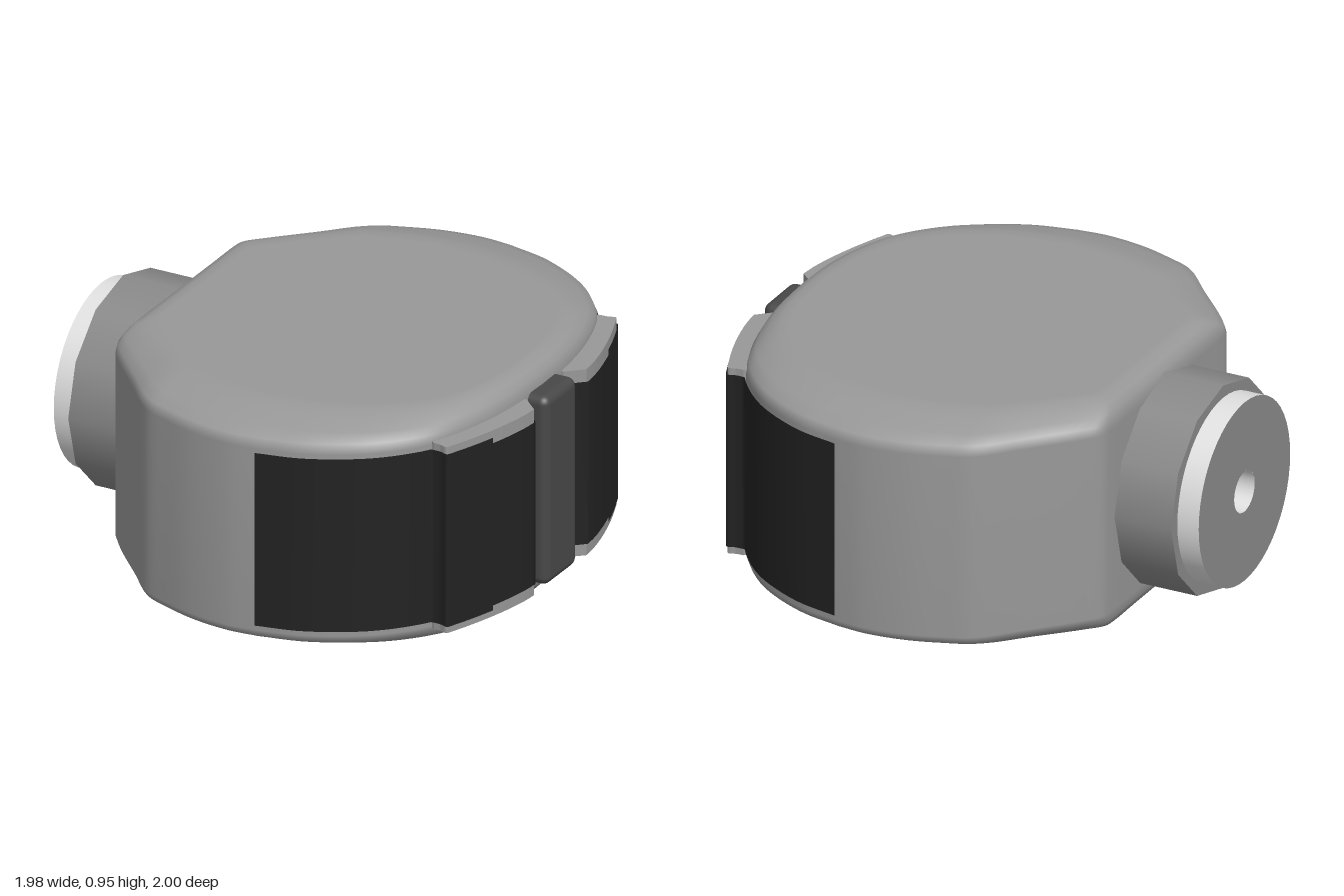
import * as THREE from 'three';
import { RoundedBoxGeometry } from 'three/addons/geometries/RoundedBoxGeometry.js';

const mat = (name, color, side = THREE.FrontSide) => {
  const m = new THREE.MeshStandardMaterial({ color, side });
  m.name = name;
  return m;
};

// Smooth curve through [x, z] points
const curve = (pts, n) =>
  new THREE.CatmullRomCurve3(pts.map(([x, z]) => new THREE.Vector3(x, 0, z)), false, 'centripetal')
    .getPoints(n).map((p) => [p.x, p.z]);

function indexed(positions, index) {
  const g = new THREE.BufferGeometry();
  g.setAttribute('position', new THREE.Float32BufferAttribute(positions, 3));
  g.setIndex(index);
  g.computeVertexNormals();
  return g;
}

// Lofted case: one plan outline, pulled in by different amounts along x and z near top and bottom
function caseGeometry(outline) {
  const H = 0.95;
  const upper = [[0.85, 0, 0], [0.885, 0.06, 0.1], [0.91, 0.2, 0.38], [0.935, 0.5, 0.75], [0.95, 1, 1], [0.95, 1.5, 1.2]];
  const levels = [...upper.map(([y, a, b]) => [H - y, a, b]).reverse(), ...upper];
  const n = outline.length, pos = [], idx = [];
  for (const [y, tx, tz] of levels) {
    for (const [x, z] of outline) pos.push(0.12 + (x - 0.12) * (1 - 0.09 * tx), y, z * (1 - 0.24 * tz));
  }
  const bottom = levels.length * n, top = bottom + 1, last = (levels.length - 1) * n;
  pos.push(0.12, 0, 0, 0.12, H, 0);
  for (let i = 0; i < n; i++) {
    const j = (i + 1) % n;
    for (let k = 0; k < levels.length - 1; k++) {
      const a = k * n + i, b = k * n + j;
      idx.push(a, b, b + n, a, b + n, a + n);
    }
    idx.push(bottom, j, i, top, last + i, last + j);
  }
  return indexed(pos, idx);
}

// Upright thin strip following a plan path, lifted slightly off the surface
function stripGeometry(path, y0, y1) {
  const pos = [], idx = [];
  path.forEach(([x, z], i) => {
    const px = 0.1 + (x - 0.1) * 1.007, pz = z * 1.005;
    pos.push(px, y0, pz, px, y1, pz);
    if (i) {
      const a = 2 * i - 2;
      idx.push(a, a + 2, a + 3, a, a + 3, a + 1);
    }
  });
  return indexed(pos, idx);
}

export function createModel() {
  const model = new THREE.Group();
  const grey = mat('case grey', 0x989898);
  const hubGrey = mat('hub grey', 0x8a8a8a);
  const light = mat('light metal', 0xe0e0e0, THREE.DoubleSide);
  const black = mat('grip black', 0x222222, THREE.DoubleSide);
  const charcoal = mat('button charcoal', 0x484848);
  const add = (name, geometry, material, x = 0, y = 0, z = 0) => {
    const m = new THREE.Mesh(geometry, material);
    m.name = name;
    m.position.set(x, y, z);
    model.add(m);
    return m;
  };

  // Case
  const rear = [[-0.66, 0], [-0.66, 0.25], [-0.66, 0.44], [-0.652, 0.5], [-0.61, 0.56], [-0.45, 0.735], [-0.31, 0.885], [-0.2, 0.935], [-0.06, 0.98], [0.1, 1], [0.22, 0.99]];
  const nose = [[0.22, 0.99], [0.4, 0.945], [0.6, 0.835], [0.72, 0.72], [0.8, 0.6], [0.865, 0.4], [0.897, 0.2], [0.905, 0]];
  const half = [...curve(rear, 40), ...curve(nose, 40).slice(1)];
  const mirrored = half.slice(1, -1).reverse().map(([x, z]) => [x, -z]);
  add('case', caseGeometry([...half, ...mirrored]), grey);

  // Raised pads and black grip strips, mirrored front and back
  const padOuter = curve([[0.79, 0.64], [0.82, 0.642], [0.85, 0.65], [0.865, 0.62], [0.91, 0.5], [0.945, 0.38], [0.968, 0.27], [0.975, 0.2]], 28);
  const bodyGrip = curve(nose, 40).filter(([, z]) => z > 0.64);
  const gripPath = [...bodyGrip, ...padOuter];
  const split = gripPath.findIndex(([, z]) => z < 0.44);
  const tip = [0.93, 0.158];
  for (const s of [1, -1]) {
    const flip = (pts) => pts.map(([x, z]) => [x, z * s]);
    const outline = [...padOuter, [0.91, 0.14], [0.84, 0.14], [0.74, 0.6]];
    const shape = new THREE.Shape(flip(outline).map(([x, z]) => new THREE.Vector2(x, -z)));
    const pad = new THREE.ExtrudeGeometry(shape, { depth: 0.77, bevelEnabled: false }).rotateX(-Math.PI / 2);
    const side = s > 0 ? 'left' : 'right';
    add(side + 'Pad', pad, grey, 0, 0.092, 0);
    add(side + 'Grip', stripGeometry(flip(gripPath.slice(0, split + 1)), 0.12, 0.835), black);
    add(side + 'PadGrip', stripGeometry(flip([...gripPath.slice(split), tip]), 0.14, 0.812), black);
  }

  // Button between the pads
  add('button', new RoundedBoxGeometry(0.12, 0.78, 0.24, 4, 0.035), charcoal, 0.925, 0.48, 0);

  // Hub and end disc with a central bore, all along the x axis
  const tube = (r, len, open, sides) =>
    new THREE.CylinderGeometry(r, r, len, sides, 1, open).rotateZ(Math.PI / 2);
  const ring = (inner, outer) => new THREE.RingGeometry(inner, outer, 48).rotateY(-Math.PI / 2);
  add('hub', tube(0.42, 0.3, true, 12), hubGrey, -0.75, 0.48, 0);
  add('hubFace', new THREE.RingGeometry(0.3, 0.42, 12).rotateY(-Math.PI / 2), hubGrey, -0.9, 0.48, 0);
  add('discRim', tube(0.37, 0.1, true, 48), light, -0.94, 0.48, 0);
  add('discFace', ring(0.083, 0.37), hubGrey, -0.99, 0.48, 0);
  add('bore', tube(0.083, 0.2, true, 32), light, -0.89, 0.48, 0);
  add('boreFloor', new THREE.CircleGeometry(0.083, 32).rotateY(-Math.PI / 2), black, -0.79, 0.48, 0);

  return model;
}
